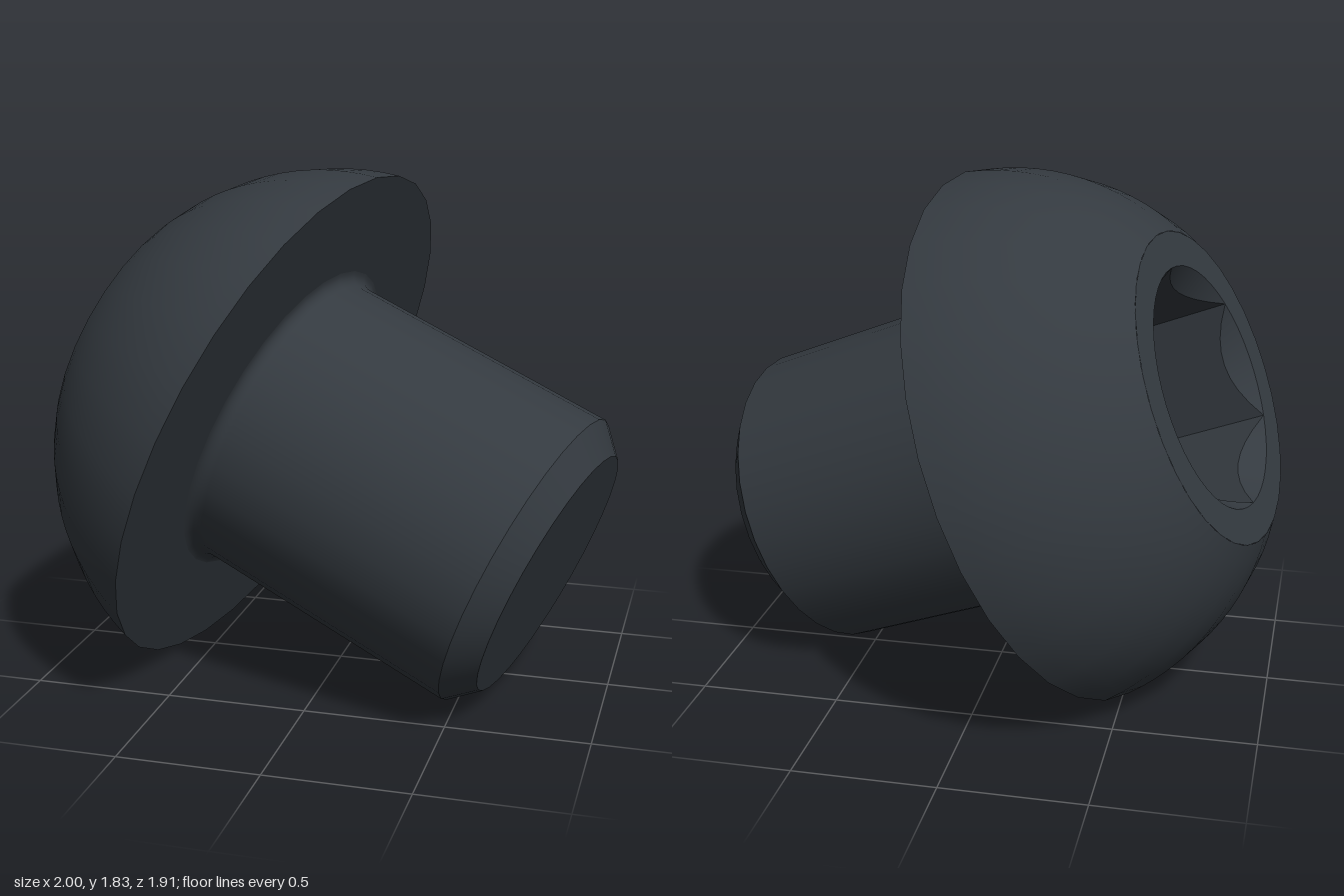
import * as THREE from 'three';
import { toCreasedNormals } from 'three/addons/utils/BufferGeometryUtils.js';

const SEG = 32, START = -Math.PI / 6;
const HEAD_R = 0.978, HEAD_H = 0.615, TOP_R = 0.555;
const SHANK_R = 0.56, LENGTH = 1.12, CHAMFER = 0.093, FILLET = 0.045;
const HEX_R = 0.431, HEX_DEPTH = 0.39, SINK = 0.08;

const steel = new THREE.MeshStandardMaterial({ color: 0x343a40 });
steel.name = 'dark steel';

// Surface of revolution from [radius, height] pairs, listed bottom to top
function turned(name, pairs) {
  const points = pairs.map(([r, y]) => new THREE.Vector2(r, y));
  const mesh = new THREE.Mesh(new THREE.LatheGeometry(points, SEG, START), steel);
  mesh.name = name;
  return mesh;
}

// Shallow arc of the button head, from the rim to the flat ring
function domeProfile() {
  const tilt = THREE.MathUtils.degToRad(12);
  const chordTilt = Math.atan2(HEAD_R - TOP_R, HEAD_H);
  const half = chordTilt - tilt;
  const rho = Math.hypot(HEAD_R - TOP_R, HEAD_H) / 2 / Math.sin(half);
  const cx = HEAD_R - rho * Math.cos(tilt), cy = -rho * Math.sin(tilt);
  return Array.from({ length: 13 }, (_, i) => {
    const a = tilt + 2 * half * i / 12;
    return [cx + rho * Math.cos(a), cy + rho * Math.sin(a)];
  });
}

// Shank side blending into the head through a small fillet
function shankProfile() {
  const pairs = [[SHANK_R, -LENGTH + CHAMFER]];
  for (let i = 0; i <= 6; i++) {
    const a = i / 6 * Math.PI / 2;
    pairs.push([SHANK_R + FILLET * (1 - Math.cos(a)), -FILLET + FILLET * Math.sin(a)]);
  }
  return pairs;
}

// Flat ring round the socket mouth
function topRing(steps) {
  const circle = (r, n, start) => Array.from({ length: n }, (_, i) => {
    const a = start + i / n * Math.PI * 2;
    return new THREE.Vector2(r * Math.cos(a), r * Math.sin(a));
  });
  const shape = new THREE.Shape(circle(TOP_R, SEG, Math.PI * 2 / 3));
  shape.holes.push(new THREE.Path(circle(HEX_R, steps, 0)));
  const mesh = new THREE.Mesh(new THREE.ShapeGeometry(shape).rotateX(-Math.PI / 2), steel);
  mesh.name = 'topRing';
  mesh.position.y = HEAD_H;
  return mesh;
}

// Hexagonal recess: countersunk mouth, six walls and a flat floor
function socket(steps) {
  const apothem = HEX_R * Math.cos(Math.PI / 6), perSide = steps / 6;
  const positions = [], index = [];
  for (let i = 0; i <= steps; i++) {
    const a = i / steps * Math.PI * 2;
    const r = apothem / Math.cos((i % perSide) / perSide * Math.PI / 3 - Math.PI / 6);
    const drop = SINK * (HEX_R - r) / (HEX_R - apothem);
    for (const [radius, y] of [[HEX_R, 0], [r, -drop], [r, -HEX_DEPTH], [0, -HEX_DEPTH]])
      positions.push(radius * Math.cos(a), HEAD_H + y, -radius * Math.sin(a));
    if (i === steps) break;
    for (let j = 0; j < 3; j++) {
      const p = i * 4 + j, q = p + 4;
      index.push(p, q, p + 1);
      if (j < 2) index.push(q, q + 1, p + 1);
    }
  }
  const geometry = new THREE.BufferGeometry();
  geometry.setAttribute('position', new THREE.Float32BufferAttribute(positions, 3));
  geometry.setIndex(index);
  const mesh = new THREE.Mesh(toCreasedNormals(geometry, 0.4), steel);
  mesh.name = 'hexSocket';
  return mesh;
}

export function createModel() {
  const model = new THREE.Group();
  model.name = 'buttonHeadScrew';
  const screw = new THREE.Group();
  screw.name = 'screw';

  screw.add(
    turned('endFace', [[0, -LENGTH], [SHANK_R - CHAMFER, -LENGTH]]),
    turned('endChamfer', [[SHANK_R - CHAMFER, -LENGTH], [SHANK_R, -LENGTH + CHAMFER]]),
    turned('shank', shankProfile()),
    turned('headUnderside', [[SHANK_R + FILLET, 0], [HEAD_R, 0]]),
    turned('headDome', domeProfile()),
    topRing(48),
    socket(48)
  );

  // Tilt the screw: local y runs out of the head, local x points at a socket corner
  const up = new THREE.Vector3(-0.903, 0.383, -0.192).normalize();
  const side = new THREE.Vector3(0, -0.448, -0.893);
  side.addScaledVector(up, -side.dot(up)).normalize();
  const third = new THREE.Vector3().crossVectors(side, up);
  screw.quaternion.setFromRotationMatrix(new THREE.Matrix4().makeBasis(side, up, third));
  screw.position.set(-0.21, 0.907, 0);

  model.add(screw);
  return model;
}
